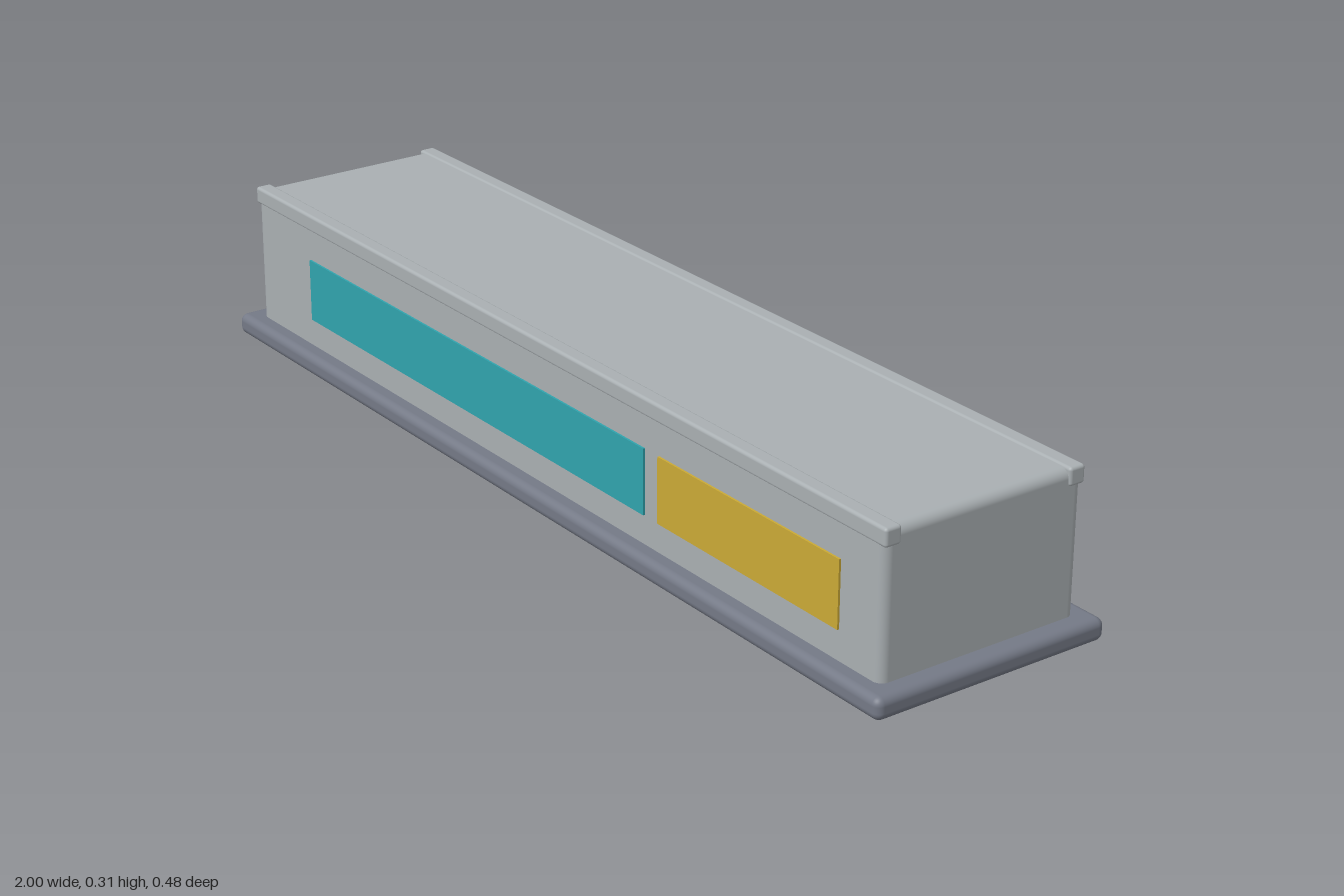
import * as THREE from 'three';
import { RoundedBoxGeometry } from 'three/addons/geometries/RoundedBoxGeometry.js';

function material(name, color) {
  const m = new THREE.MeshStandardMaterial({ color });
  m.name = name;
  return m;
}

export function createModel() {
  const group = new THREE.Group();
  const shell = material('light grey', 0xa9afb2);
  const dark = material('slate grey', 0x747986);
  const teal = material('teal', 0x30a3ad);
  const gold = material('gold', 0xcaa936);

  // Place a geometry by its centre
  const add = (name, geometry, mat, x, y, z) => {
    const mesh = new THREE.Mesh(geometry, mat);
    mesh.name = name;
    mesh.position.set(x, y, z);
    group.add(mesh);
  };

  // Base plinth with rounded rim
  add('basePlinth', new RoundedBoxGeometry(2, 0.042, 0.484, 4, 0.015), dark, 0, 0.021, 0);

  // Long housing, sunk into the plinth
  add('housing', new RoundedBoxGeometry(1.924, 0.306, 0.414, 4, 0.018), shell, 0, 0.158, 0);

  // Rails along the two long top edges
  for (const side of [1, -1]) {
    const name = side > 0 ? 'frontRail' : 'backRail';
    add(name, new RoundedBoxGeometry(1.932, 0.034, 0.033, 3, 0.006), shell, 0, 0.297, side * 0.1915);
  }

  // Thin front panels: display screen and accent plate
  add('displayScreen', new THREE.BoxGeometry(1.1, 0.124, 0.008), teal, -0.21, 0.16, 0.207);
  add('accentPlate', new THREE.BoxGeometry(0.48, 0.124, 0.008), gold, 0.62, 0.16, 0.207);

  return group;
}
